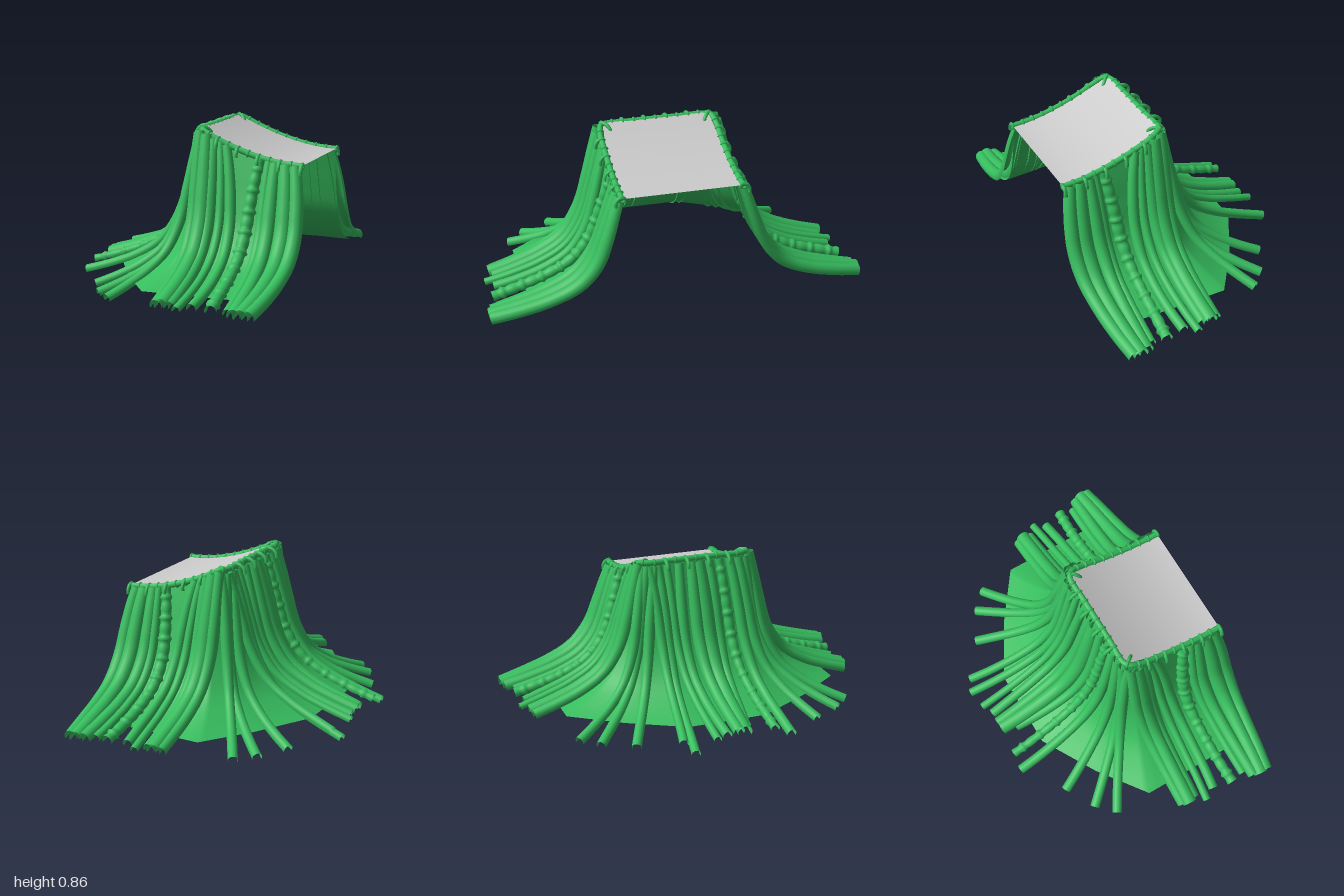
import * as THREE from 'three';

const green = new THREE.MeshStandardMaterial({ color: 0x36bd5e, side: THREE.DoubleSide });
const grey = new THREE.MeshStandardMaterial({ color: 0xcccccc, side: THREE.DoubleSide });
const UP = new THREE.Vector3(0, 1, 0);
const V = (x, y, z) => new THREE.Vector3(x, y, z);

// Height of the sloping top at a given x
const topY = x => 0.70 + 0.165 * Math.pow(1 - THREE.MathUtils.clamp((x - 0.05) / 0.56, 0, 1), 1.8);

// Hanging profile: outward share and height share, from the rim to the ground
const drape = new THREE.CatmullRomCurve3(
  [[0, 1], [0.045, 0.85], [0.1, 0.66], [0.18, 0.44], [0.33, 0.25], [0.55, 0.13], [0.8, 0.05], [1, 0]]
    .map(([d, h]) => V(d, h, 0)));

// Surface from a rule giving the point at row u, column v (both 0..1)
function grid(rows, cols, rule) {
  const pos = [], index = [];
  for (let i = 0; i <= rows; i++)
    for (let j = 0; j <= cols; j++) {
      pos.push(...rule(i / rows, j / cols).toArray());
      if (i < rows && j < cols) {
        const a = i * (cols + 1) + j, b = a + cols + 1;
        index.push(a, b, a + 1, b, b + 1, a + 1);
      }
    }
  const g = new THREE.BufferGeometry();
  g.setAttribute('position', new THREE.Float32BufferAttribute(pos, 3));
  g.setIndex(index);
  g.computeVertexNormals();
  return g;
}

// Root: a channel open on its inner side, swept down the drape with a sideways bend
function rootGeometry(start, end, bend, radius, knotty) {
  const out = V(end.x - start.x, 0, end.z - start.z).normalize();
  const main = Math.abs(out.x) > Math.abs(out.z) ? V(Math.sign(out.x), 0, 0) : V(0, 0, Math.sign(out.z));
  const side = UP.clone().cross(out);
  const bendDir = V(Math.abs(main.z), 0, Math.abs(main.x));
  const pts = [];
  for (let i = 0; i <= 16; i++) {
    const t = i / 16, p = drape.getPoint(t);
    pts.push(V(
      THREE.MathUtils.lerp(start.x, end.x, p.x),
      THREE.MathUtils.lerp(end.y, start.y, p.y),
      THREE.MathUtils.lerp(start.z, end.z, p.x)
    ).addScaledVector(bendDir, bend * Math.sin(Math.PI * t)));
  }
  const path = new THREE.CatmullRomCurve3(pts);
  return grid(knotty ? 90 : 36, 12, (u, v) => {
    const c = path.getPointAt(u), T = path.getTangentAt(u);
    const N = T.clone().cross(side).normalize();
    const B = N.clone().cross(T).normalize();
    let r = radius * (0.75 + 0.25 * Math.sin(Math.PI * Math.min(1, u * 1.3 + 0.05)));
    if (u > 0.4) r = Math.max(r, radius * 0.88);
    if (knotty) {
      const f = (u * 9) % 1;
      r *= 0.85 + 0.4 * Math.exp(-Math.pow((f - 0.5) / 0.1, 2)) + 0.1 * Math.cos(f * Math.PI * 2);
    }
    const a = (v - 0.5) * Math.PI * 1.3;
    return c.addScaledVector(N, r * Math.cos(a)).addScaledVector(B, r * Math.sin(a));
  });
}

export function createModel() {
  const group = new THREE.Group();
  const add = (name, geometry, material = green) => {
    const m = new THREE.Mesh(geometry, material);
    m.name = name;
    group.add(m);
    return m;
  };

  // Sloping top sheet
  add('topSheet', grid(4, 20, (u, v) => {
    const x = 0.05 + 0.56 * v;
    return V(x, topY(x), (u * 2 - 1) * (0.29 + 0.025 * Math.min(1, v * 2)));
  }), grey);

  // Skirt under the roots: rim point (x, z) and hem point (x, z), back to front
  const half = [[0.60, 0.31, 0.57, 0.76], [0.33, 0.305, 0.40, 0.78], [0.10, 0.30, -0.08, 0.78],
    [0.04, 0.28, -0.27, 0.52], [0.035, 0.20, -0.44, 0.22]];
  const ribs = [...half.map(([a, b, c, d]) => [a, -b, c, -d]), ...half.slice().reverse()];
  add('skirt', grid(30, 72, (u, v) => {
    const k = Math.min(v * (ribs.length - 1), ribs.length - 1.0001), i = Math.floor(k);
    const [rx, rz, hx, hz] = ribs[i].map((a, n) => THREE.MathUtils.lerp(a, ribs[i + 1][n], k - i));
    const p = drape.getPoint(u * 0.8), d = p.x / drape.getPoint(0.8).x;
    const top = topY(rx) - 0.01;
    const h = (p.y - drape.getPoint(0.8).y) / (1 - drape.getPoint(0.8).y);
    return V(rx + (hx - rx) * d, 0.095 + (top - 0.095) * h, rz + (hz - rz) * d);
  }));

  // Roots on the front and back: rim x, bend, end x, end z, radius, end height, knotty
  const sideRoots = [
    [0.055, 0.00, 0.055, 0.92, 0.035, 0.07], [0.09, 0.01, 0.09, 0.935, 0.045, 0.075],
    [0.13, 0.01, 0.125, 0.92, 0.035, 0.07], [0.165, 0.035, 0.18, 0.97, 0.024, 0.07],
    [0.20, 0.05, 0.245, 0.93, 0.03, 0.075], [0.385, -0.035, 0.355, 0.955, 0.036, 0.08, true],
    [0.43, -0.01, 0.435, 0.94, 0.027, 0.07], [0.465, -0.005, 0.48, 0.98, 0.038, 0.075],
    [0.52, 0.025, 0.52, 0.995, 0.045, 0.075], [0.57, 0.04, 0.555, 0.99, 0.04, 0.075]];
  // Fanned roots at the two left corners: rim x, rim z, bend, end x, end z, radius
  const cornerRoots = [
    [0.05, 0.30, -0.02, -0.28, 0.77, 0.03], [0.03, 0.28, 0.02, -0.37, 0.68, 0.03],
    [0.025, 0.24, 0.02, -0.46, 0.515, 0.03]];
  for (const s of [1, -1]) {
    for (const [x, bend, ex, ez, r, ey, knotty] of sideRoots)
      add(knotty ? 'knottedRoot' : 'sideRoot',
        rootGeometry(V(x, topY(x) - 0.01, s * 0.315), V(ex, ey, s * ez), bend, r, knotty));
    for (const [x, z, bend, ex, ez, r] of cornerRoots) {
      const alongZ = Math.abs(ez - z) >= Math.abs(ex - x);
      add('cornerRoot', rootGeometry(V(x, 0.84, s * z), V(ex, 0.035, s * ez), alongZ ? bend : s * bend, r));
    }
  }

  // Roots on the left end: rim z, bend, end z, end x, radius, end height, knotty
  const endRoots = [
    [-0.27, 0.04, -0.31, -0.61, 0.027, 0.09], [-0.22, 0.03, -0.255, -0.64, 0.027, 0.035],
    [-0.17, 0.01, -0.13, -0.63, 0.024, 0.09], [-0.10, -0.01, -0.065, -0.60, 0.03, 0.09],
    [-0.03, 0.00, 0.00, -0.60, 0.035, 0.10], [0.01, 0.02, 0.035, -0.595, 0.045, 0.09],
    [0.07, 0.03, 0.07, -0.52, 0.03, 0.09], [0.13, 0.02, 0.20, -0.61, 0.03, 0.09, true],
    [0.19, 0.03, 0.29, -0.62, 0.03, 0.05]];
  for (const [z, bend, ez, ex, r, ey, knotty] of endRoots)
    add(knotty ? 'knottedRoot' : 'endRoot',
      rootGeometry(V(0.025, 0.84, z), V(ex, ey, ez), bend, r, knotty));

  // Twisted rim along three edges of the sheet
  const line = [];
  for (const x of [0.61, 0.5, 0.4, 0.3, 0.2, 0.12, 0.06]) line.push(V(x, topY(x) - 0.003, 0.315));
  line[6].z = 0.30;
  const front = line.slice();
  for (const z of [0.27, 0.14, 0]) front.push(V(0.04, 0.855, z));
  const back = front.slice(0, -1).reverse().map(p => V(p.x, p.y, -p.z));
  const rim = new THREE.CatmullRomCurve3([...front, ...back]);
  add('rim', new THREE.TubeGeometry(rim, 120, 0.016, 8));

  // Knots round the rim, with short shoots hooked over its outer side
  const knots = 30;
  for (let i = 0; i <= knots; i++) {
    const u = i / knots, p = rim.getPointAt(u), T = rim.getTangentAt(u);
    const knot = add('rimKnot', new THREE.TorusGeometry(0.015, 0.007, 6, 12));
    knot.position.copy(p);
    knot.quaternion.setFromUnitVectors(V(0, 0, 1), T);
    const out = T.clone().cross(UP).normalize();
    if (out.x * 0.3 + out.z * p.z < 0) out.negate();
    if (Math.abs(p.z) < 0.29) out.set(-1, 0, 0);
    const reach = p.x < 0.12 ? 0.055 : 0.032;
    const at = (o, y) => p.clone().addScaledVector(out, o).add(V(0, y, 0));
    if (i % 2 === 0) add('hookedShoot', new THREE.TubeGeometry(new THREE.CatmullRomCurve3(
      [at(-0.01, 0.008), at(reach * 0.5, 0.006), at(reach, -0.018), at(reach * 1.05, -0.04)]), 10, 0.01, 7));
  }
  return group;
}
